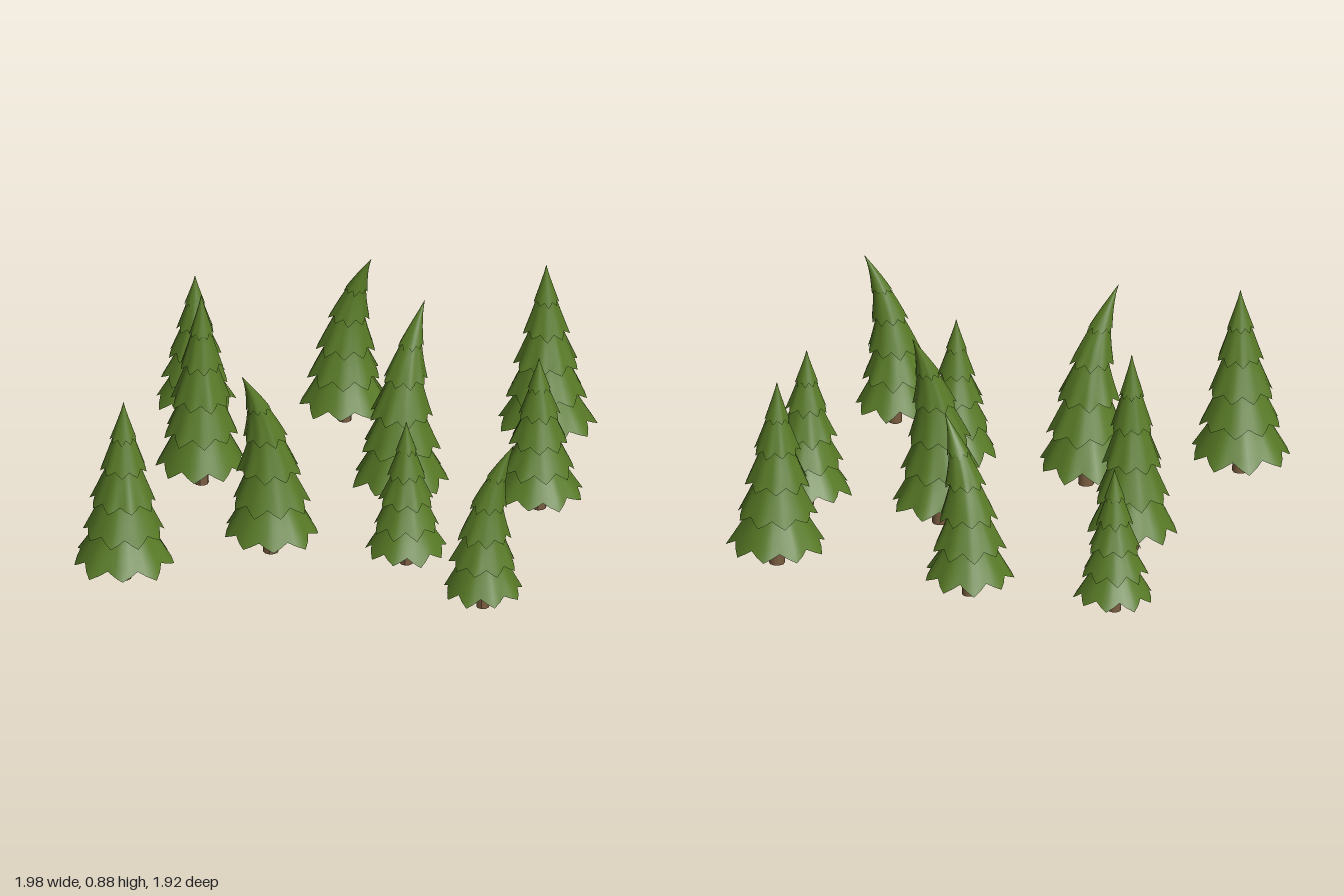
import * as THREE from 'three';

const leafMat = new THREE.MeshStandardMaterial({ color: 0x587a26, side: THREE.DoubleSide });
const barkMat = new THREE.MeshStandardMaterial({ color: 0x7a5c40 });

// x, z, skirt radius, height, tip lean in x, tip lean in z
const TREES = [
  [-0.74, -0.72, 0.175, 0.64, 0, 0],
  [-0.12, -0.77, 0.195, 0.785, 0.12, 0.04],
  [0.735, -0.74, 0.215, 0.82, 0, 0],
  [-0.605, -0.12, 0.2, 0.88, 0, 0],
  [0.23, -0.14, 0.21, 0.87, 0.08, -0.115],
  [0.81, -0.155, 0.195, 0.7, 0, 0],
  [-0.215, 0.42, 0.21, 0.87, -0.1, 0.12],
  [0.355, 0.42, 0.18, 0.66, 0, 0],
  [-0.775, 0.755, 0.222, 0.82, 0, 0],
  [0.735, 0.74, 0.178, 0.75, 0.125, -0.03],
];

// Skirt tiers from bottom to top: [edge height, edge radius] as fractions
const TIERS = [[0.12, 1], [0.285, 0.82], [0.455, 0.66], [0.635, 0.47], [0.8, 0.27]];
const LOBES = 9, PER_LOBE = 4, ROWS = 5;

function seeded(seed) {
  let s = seed * 7919 + 17;
  return () => (s = (s * 16807) % 2147483647) / 2147483647;
}

// One open, pleated skirt of branches, built from rings
function tierGeometry(yTop, rTop, yEdge, rEdge, droop, rand) {
  const n = LOBES * PER_LOBE, pos = [], index = [];
  const turn = rand() * Math.PI * 2;
  const lobes = Array.from({ length: LOBES }, () => [1 - 0.09 * rand(), rand() - 0.5]);
  for (let row = 0; row <= ROWS; row++) {
    const s = row / ROWS;
    for (let i = 0; i < n; i++) {
      const wave = Math.cos((i / PER_LOBE) * Math.PI * 2);
      const [size, drop] = lobes[Math.round(i / PER_LOBE) % LOBES];
      const point = (wave + 1) / 2;
      const fold = 1 - s * (1 - (0.82 + (size - 0.82) * point));
      const r = (rTop + (rEdge - rTop) * Math.pow(s, 1.2)) * fold;
      const a = turn + (i / n) * Math.PI * 2;
      const y = yTop + (yEdge - yTop) * s - droop * s * s * (wave + drop * point);
      pos.push(Math.cos(a) * r, y, Math.sin(a) * r);
      if (row < ROWS) {
        const A = row * n + i, B = row * n + ((i + 1) % n);
        index.push(A, B, B + n, A, B + n, A + n);
      }
    }
  }
  const geo = new THREE.BufferGeometry();
  geo.setAttribute('position', new THREE.Float32BufferAttribute(pos, 3));
  geo.setIndex(index);
  return geo;
}

// Curl a part sideways, more strongly toward the tip
function bend(geo, height, leanX, leanZ) {
  const p = geo.attributes.position;
  for (let i = 0; i < p.count; i++) {
    const k = Math.pow(Math.max(p.getY(i), 0) / height, 3.6);
    p.setX(i, p.getX(i) + leanX * k);
    p.setZ(i, p.getZ(i) + leanZ * k);
  }
  geo.computeVertexNormals();
  return geo;
}

function makeTree([x, z, radius, height, leanX, leanZ], id) {
  const tree = new THREE.Group();
  tree.name = 'pineTree' + (id + 1);
  tree.position.set(x, 0, z);
  const rand = seeded(id + 1);

  // trunk
  const trunkH = height * 0.5, trunkR = radius * 0.155;
  const trunkGeo = new THREE.CylinderGeometry(trunkR * 0.75, trunkR, trunkH, 10, 4);
  trunkGeo.translate(0, trunkH / 2, 0);
  const trunk = new THREE.Mesh(bend(trunkGeo, height, leanX, leanZ), barkMat);
  trunk.name = 'trunk';
  tree.add(trunk);

  // branch tiers, each tucked under the one above; the last closes to the tip
  TIERS.forEach(([fy, fr], i) => {
    const above = TIERS[i + 1];
    const yTop = above ? (above[0] + 0.07) * height : height;
    const rTop = above ? above[1] * radius * 0.5 : 0.001;
    const geo = tierGeometry(yTop, rTop, fy * height, fr * radius, 0.018 * (0.4 + 0.6 * fr), rand);
    const tier = new THREE.Mesh(bend(geo, height, leanX, leanZ), leafMat);
    tier.name = 'branchTier' + (i + 1);
    tree.add(tier);
  });
  return tree;
}

export function createModel() {
  const forest = new THREE.Group();
  forest.name = 'pineGrove';
  TREES.forEach((t, i) => forest.add(makeTree(t, i)));
  return forest;
}
